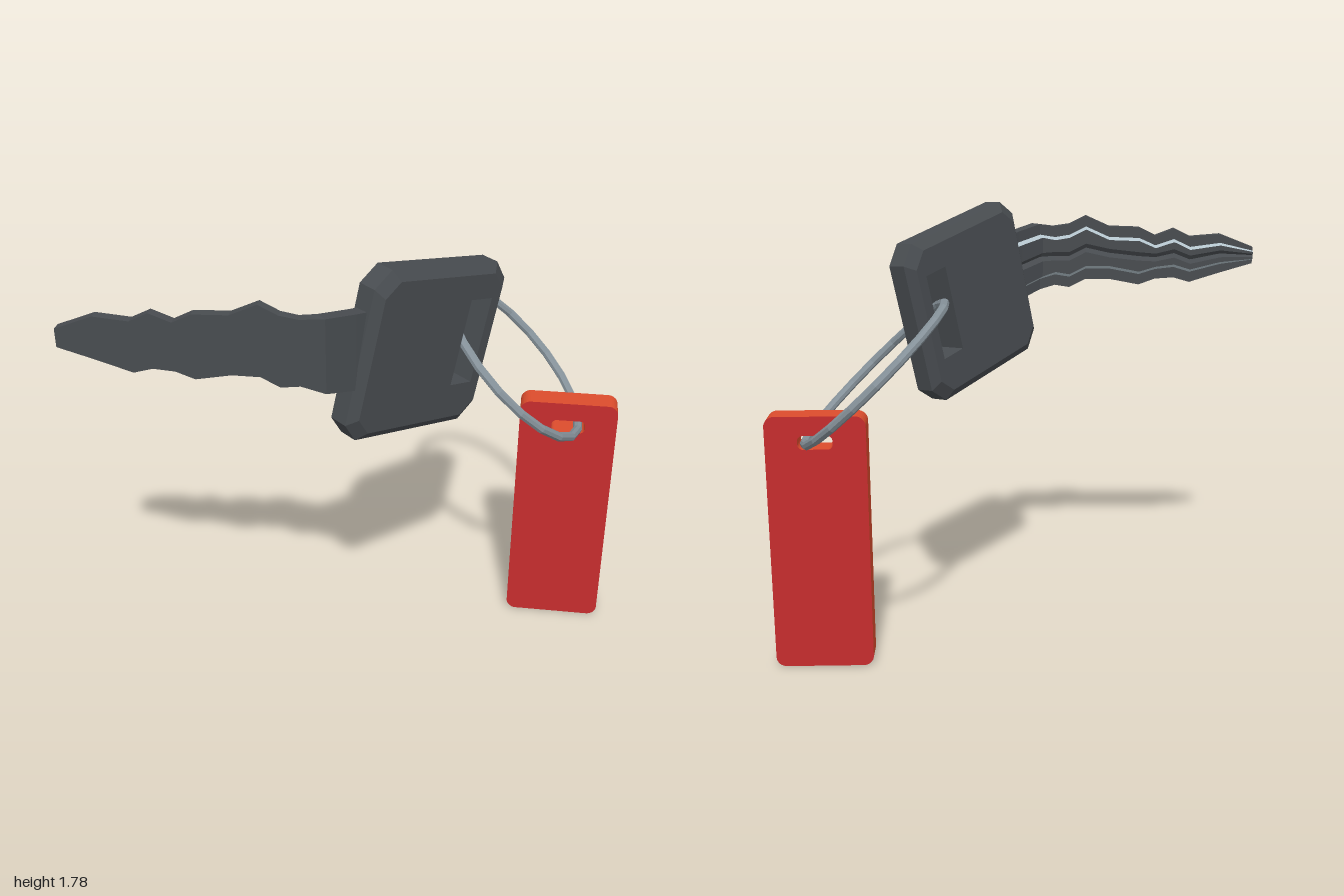
import * as THREE from 'three';

const mat = (name, color, extra = {}) => {
  const m = new THREE.MeshStandardMaterial({ color, ...extra });
  m.name = name;
  return m;
};

function roundedRect(path, x0, y0, x1, y1, r) {
  path.absarc(x1 - r, y0 + r, r, -Math.PI / 2, 0);
  path.absarc(x1 - r, y1 - r, r, 0, Math.PI / 2);
  path.absarc(x0 + r, y1 - r, r, Math.PI / 2, Math.PI);
  path.absarc(x0 + r, y0 + r, r, Math.PI, Math.PI * 1.5);
  path.closePath();
  return path;
}

// Blade stations along its length: front x, front z, top y, bottom y
const STATIONS = [
  [-1, 0.57, 1.57, 1.5], [-0.86, 0.57, 1.625, 1.46], [-0.73, 0.57, 1.615, 1.42],
  [-0.66, 0.57, 1.65, 1.44], [-0.58, 0.57, 1.62, 1.435], [-0.51, 0.57, 1.655, 1.41],
  [-0.38, 0.57, 1.66, 1.435], [-0.28, 0.57, 1.705, 1.435], [-0.21, 0.57, 1.67, 1.4],
  [-0.14, 0.572, 1.66, 1.41], [-0.05, 0.577, 1.67, 1.39], [0.04, 0.48, 1.65, 1.36],
  [0.12, 0.38, 1.63, 1.33],
];

// Cross-section: flat front, stepped back with a raised middle and a groove
function bladeSection([x, z, top, bot]) {
  const bx = x > -0.1 ? -0.045 : x > -0.2 ? -0.01 : 0;
  const bz = -0.052;
  const mid = (top + bot) / 2;
  const s = Math.min(1, (top - bot) / 0.2);
  const p = (y, d) => [x + bx * d, y, z + bz * d];
  return [
    p(top, 0), p(bot, 0), p(bot, 0.75), p(bot + 0.045 * s, 0.75), p(bot + 0.057 * s, 1),
    p(mid - 0.018 * s, 1), p(mid, 0.75), p(mid + 0.018 * s, 1),
    p(top - 0.057 * s, 1), p(top - 0.045 * s, 0.75), p(top, 0.75),
  ];
}

// Lofts only the chosen sides of the section
function bladeGeometry(sides, cap) {
  const rings = STATIONS.map(bladeSection);
  const n = rings[0].length;
  const pos = [];
  for (let i = 0; i < rings.length - 1; i++) {
    for (const k of sides) {
      const a = rings[i][k], b = rings[i][(k + 1) % n];
      const c = rings[i + 1][(k + 1) % n], d = rings[i + 1][k];
      pos.push(...a, ...b, ...c, ...a, ...c, ...d);
    }
  }
  if (cap) {
    const r = rings[0];
    for (let k = 1; k < n - 1; k++) pos.push(...r[0], ...r[k + 1], ...r[k]);
  }
  const g = new THREE.BufferGeometry();
  g.setAttribute('position', new THREE.Float32BufferAttribute(pos, 3));
  g.computeVertexNormals();
  return g;
}

// Octagonal grip with a slot; the middle layers are pushed out to bevel the rim
function gripGeometry() {
  const U = 0.345, V = 0.322, T = 0.065, inset = 0.035, c = 0.06;
  const u = U - inset, v = V - inset;
  const shape = new THREE.Shape([
    [-u + c, -v], [u - c, -v], [u, -v + c], [u, v - c],
    [u - c, v], [-u + c, v], [-u, v - c], [-u, -v + c],
  ].map(([x, y]) => new THREE.Vector2(x, y)));
  shape.holes.push(new THREE.Path([
    [0.15, -0.15], [0.15, 0.19], [0.265, 0.19], [0.265, -0.15],
  ].map(([x, y]) => new THREE.Vector2(x, y))));
  const g = new THREE.ExtrudeGeometry(shape, { depth: 2 * T, steps: 3, bevelEnabled: false });
  g.translate(0, 0, -T);
  const p = g.attributes.position;
  for (let i = 0; i < p.count; i++) {
    const x = p.getX(i), y = p.getY(i), z = p.getZ(i);
    if (Math.abs(z) > T * 0.9) continue;
    p.setZ(i, Math.sign(z) * 0.037);
    const outer = Math.abs(x) > u - 0.001 || Math.abs(y) > v - 0.001;
    if (outer) p.setXY(i, x * U / u, y * V / v);
  }
  g.computeVertexNormals();
  return g;
}

export function createModel() {
  const model = new THREE.Group();
  model.name = 'keyWithTag';

  const dark = mat('darkGrey', 0x484c50, { flatShading: true });
  const steel = mat('steel', 0x86929a, { flatShading: true });
  const bright = mat('brightCutMetal', 0xb4c4cc, { flatShading: true });
  const red = mat('red', 0xc62c2e);
  const orange = mat('orangeEdge', 0xdc4c2c);

  const add = (name, geometry, material, parent = model) => {
    const m = new THREE.Mesh(geometry, material);
    m.name = name;
    parent.add(m);
    return m;
  };

  // Key: bent blade and grip
  const key = new THREE.Group();
  key.name = 'key';
  model.add(key);
  add('blade', bladeGeometry([0, 1, 2, 4, 5, 6, 7, 9, 10], true), dark, key);
  add('bladeCutEdges', bladeGeometry([3, 8], false), bright, key);

  const grip = add('grip', gripGeometry(), dark, key);
  const v = new THREE.Vector3(0.185, 0.975, -0.127).normalize();
  const w = new THREE.Vector3(0.607, -0.215, -0.764).cross(v).normalize();
  const u = v.clone().cross(w);
  grip.quaternion.setFromRotationMatrix(new THREE.Matrix4().makeBasis(u, v, w));
  grip.position.set(0.23, 1.405, 0.185);

  // Ring joining key and tag
  const ring = add('ring', new THREE.TorusGeometry(0.377, 0.018, 8, 20), steel);
  ring.quaternion.setFromUnitVectors(
    new THREE.Vector3(0, 0, 1), new THREE.Vector3(0.694, 0.72, 0).normalize());
  ring.position.set(0.575, 1.185, -0.193);

  // Tag: red faces, orange edges, slot for the ring
  const tagShape = roundedRect(new THREE.Shape(), 0.61, 0, 0.997, 1.03, 0.04);
  tagShape.holes.push(roundedRect(new THREE.Path(), 0.738, 0.9, 0.872, 0.954, 0.02));
  const tag = new THREE.ExtrudeGeometry(tagShape, { depth: 0.1, bevelEnabled: false, curveSegments: 4 });
  tag.translate(0, 0, -0.242);
  add('tag', tag, [red, orange]);

  return model;
}
